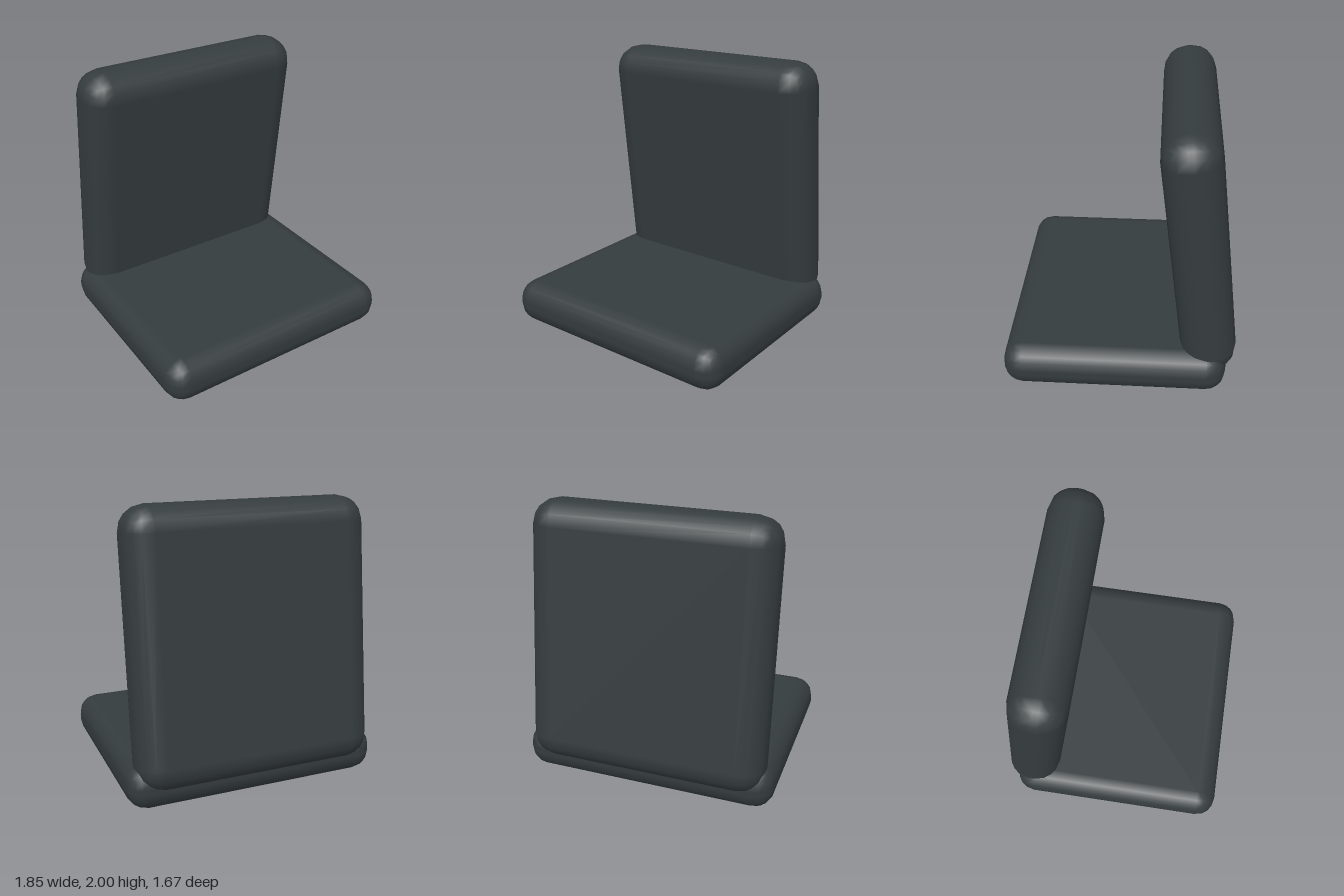
import * as THREE from 'three';
import { RoundedBoxGeometry } from 'three/addons/geometries/RoundedBoxGeometry.js';

const fabric = new THREE.MeshStandardMaterial({ color: 0x353c3e });

// A soft cushion with rounded edges
function cushion(name, width, height, depth, radius) {
  const mesh = new THREE.Mesh(new RoundedBoxGeometry(width, height, depth, 2, radius), fabric);
  mesh.name = name;
  return mesh;
}

export function createModel() {
  const group = new THREE.Group();
  group.name = 'cushionSeat';

  // Flat seat cushion on the ground
  const seat = cushion('seatCushion', 1.85, 0.325, 1.6, 0.145);
  seat.position.set(0, 0.1625, 0.035);

  // Back cushion, sunk into the seat's rear, top tilted forward
  const back = cushion('backCushion', 1.73, 1.886, 0.395, 0.18);
  back.position.set(0, 1.06, -0.543);
  back.rotation.x = 0.122;

  group.add(seat, back);
  return group;
}
